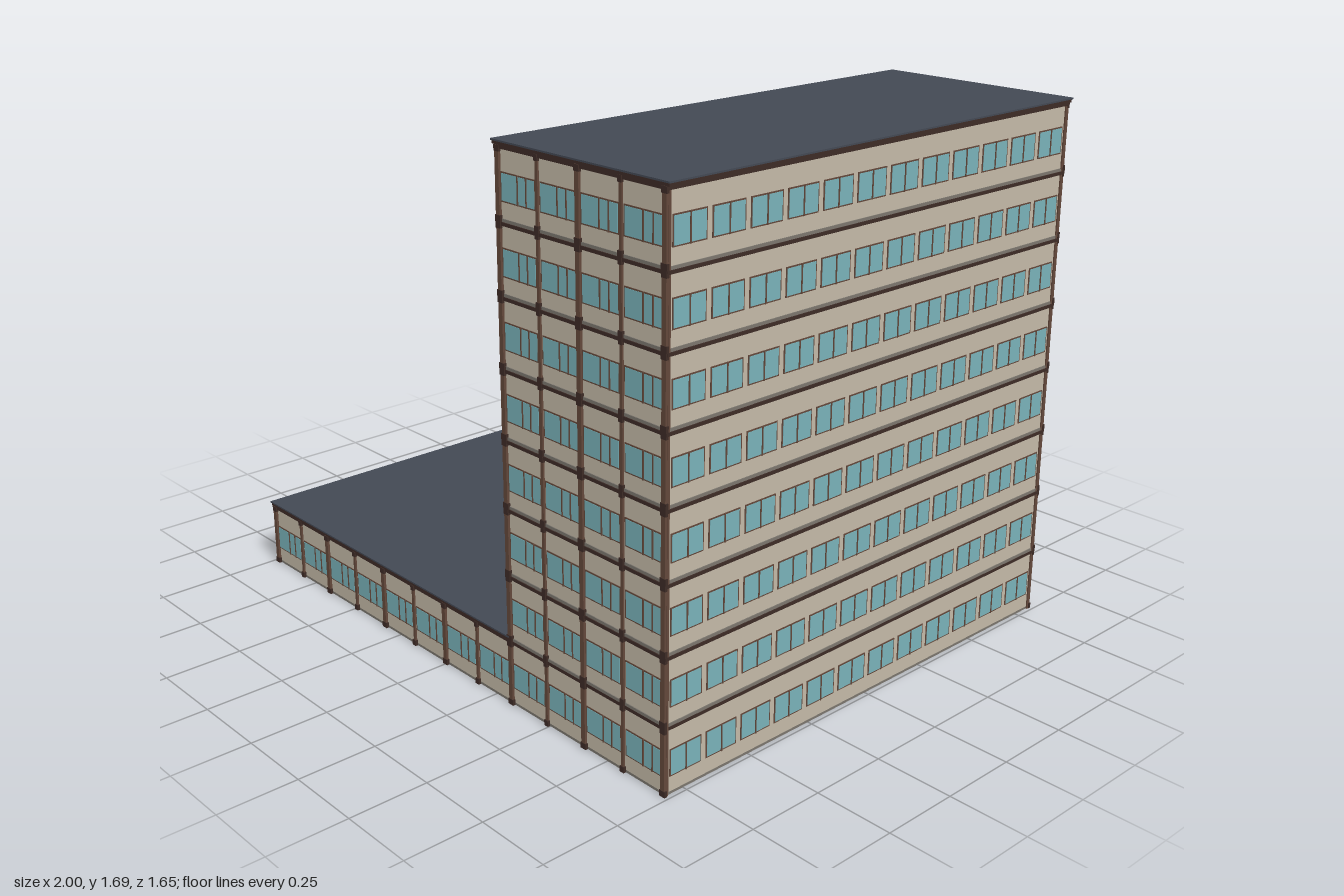
import * as THREE from 'three';
import { mergeGeometries } from 'three/addons/utils/BufferGeometryUtils.js';

const mat = (name, color) => {
  const m = new THREE.MeshStandardMaterial({ color });
  m.name = name;
  return m;
};

export function createModel() {
  const wall = mat('beige wall', 0xc3b9a7);
  const glass = mat('blue glass', 0x79b2b9);
  const roof = mat('slate roof', 0x434954);
  const frame = mat('brown frame', 0x63483b);
  const trim = mat('dark brown trim', 0x3d2b26);
  const stone = mat('grey stone', 0x7b766e);

  const FLOOR = 0.2095, FLOORS = 8;
  const X = 0.985, Z = 0.815, TX = 0.325;      // outer walls and tower's inner wall
  const BAY = 0.1637, SIDE_BAY = 0.135;

  // Boxes are collected per part name and merged at the end
  const parts = new Map();
  const box = (name, material, x0, x1, y0, y1, z0, z1, matrix) => {
    const g = new THREE.BoxGeometry(x1 - x0, y1 - y0, z1 - z0);
    g.translate((x0 + x1) / 2, (y0 + y1) / 2, (z0 + z1) / 2);
    if (matrix) g.applyMatrix4(matrix);
    if (!parts.has(name)) parts.set(name, { material, list: [] });
    parts.get(name).list.push(g);
  };

  // Facade frames: local x runs along the wall, local z points outwards
  const facade = (angle, x, z) =>
    new THREE.Matrix4().makeRotationY(angle).setPosition(x, 0, z);
  const front = facade(0, 0, Z);
  const back = facade(Math.PI, 0, -Z);
  const left = facade(Math.PI / 2, X, 0);
  const podiumRight = facade(-Math.PI / 2, -X, 0);
  const towerRight = facade(-Math.PI / 2, TX, 0);

  // Window: brown surround, glass plate and vertical bars
  const windowAt = (m, u, y, w, bars) => {
    const a = y + 0.055, b = y + 0.138;
    box('windowFrames', frame, u - w / 2, u + w / 2, a, b, 0, 0.002, m);
    box('windowGlass', glass, u - w / 2 + 0.004, u + w / 2 - 0.004, a + 0.004, b - 0.004, 0.001, 0.003, m);
    for (const t of bars)
      box('windowBars', frame, u + t - 0.002, u + t + 0.002, a, b, 0.001, 0.005, m);
  };

  // Pilaster with a foot and a capital
  const pilaster = (m, u, y, bold) => {
    const h = bold ? 0.008 : 0.005;
    box('pilasters', frame, u - h, u + h, y, y + FLOOR, 0, bold ? 0.008 : 0.006, m);
    box('pilasterFeet', trim, u - h - 0.003, u + h + 0.003, y, y + 0.018, 0, 0.009, m);
    box('pilasterCaps', trim, u - h - 0.002, u + h + 0.002, y + FLOOR - 0.018, y + FLOOR, 0, 0.009, m);
  };

  // Open bay: side jambs, lintel and the wall above
  const openBay = (m, u) => {
    const top = 0.158;
    box('backWall', wall, u - BAY / 2, u + BAY / 2, top, FLOOR, -0.012, 0, m);
    box('openingLintels', trim, u - BAY / 2, u + BAY / 2, top - 0.006, top + 0.004, -0.014, 0.003, m);
    for (const s of [-1, 1]) {
      const c = u + s * (BAY / 2 - 0.006);
      box('openingJambs', trim, c - 0.006, c + 0.006, 0, top, -0.014, 0.003, m);
    }
  };

  // Ground floor: hollow hall under the podium and tower
  box('groundSlab', stone, -X, X, 0, 0.008, -Z, Z);
  box('frontWall', wall, -X, X, 0.008, FLOOR, Z - 0.012, Z);
  for (const s of [-1, 1])
    box('sideWalls', wall, s < 0 ? -X : X - 0.012, s < 0 ? -X + 0.012 : X, 0.008, FLOOR, -Z, Z);
  box('hallCeiling', trim, -X - 0.004, X + 0.004, FLOOR - 0.01, FLOOR, -Z - 0.004, Z + 0.004);

  // Tower body, with a stone base and dark cornice on every floor
  box('towerWall', wall, TX, X, FLOOR, FLOOR * FLOORS, -Z, Z);
  for (let f = 1; f < FLOORS; f++) {
    const y = f * FLOOR;
    box('floorBases', stone, TX - 0.003, X + 0.003, y, y + 0.009, -Z - 0.003, Z + 0.003);
    box('cornices', trim, TX - 0.006, X + 0.006, y + FLOOR - 0.01, y + FLOOR, -Z - 0.006, Z + 0.006);
  }

  // Overhanging roofs: dark fascia below, slate sheet above
  const roofAt = (x0, x1, y) => {
    box('roofFascia', trim, x0 + 0.003, x1 - 0.003, y, y + 0.009, -0.822, 0.822);
    box('roofs', roof, x0, x1, y + 0.009, y + 0.014, -0.825, 0.825);
  };
  roofAt(-1, TX, FLOOR);
  roofAt(0.305, 1, FLOOR * FLOORS);

  // Front and back bays; every second ground bay at the back is open
  for (let f = 0; f < FLOORS; f++) {
    const y = f * FLOOR;
    for (let i = f ? 8 : 0; i < 12; i++) {
      const x = -0.982 + BAY * (i + 0.5);
      windowAt(front, x, y, 0.146, [0, 0.036]);
      if (f === 0 && i % 2) openBay(back, -x);
      else {
        windowAt(back, -x, y, 0.146, [0, 0.036]);
        if (f === 0) box('backWall', wall, -x - BAY / 2, -x + BAY / 2, 0.008, FLOOR, -0.012, 0, back);
      }
    }
    for (let i = f ? 8 : 0; i <= 12; i++) {
      const x = Math.max(-0.98, Math.min(0.98, -0.982 + BAY * i));
      pilaster(front, x, y, i % 2 === 0);
      pilaster(back, -x, y, i % 2 === 0);
    }
    // Long sides, with slim posts at the corners
    for (const m of [left, f ? towerRight : podiumRight]) {
      for (let i = 0; i < 12; i++) windowAt(m, (i - 5.5) * SIDE_BAY, y, 0.117, [0]);
      for (const s of [-1, 1])
        box('cornerPosts', frame, s * (Z - 0.003) - 0.004, s * (Z - 0.003) + 0.004, y, y + FLOOR, 0, 0.004, m);
    }
  }

  const group = new THREE.Group();
  group.name = 'officeBuilding';
  for (const [name, { material, list }] of parts) {
    const mesh = new THREE.Mesh(mergeGeometries(list), material);
    mesh.name = name;
    group.add(mesh);
  }
  return group;
}
